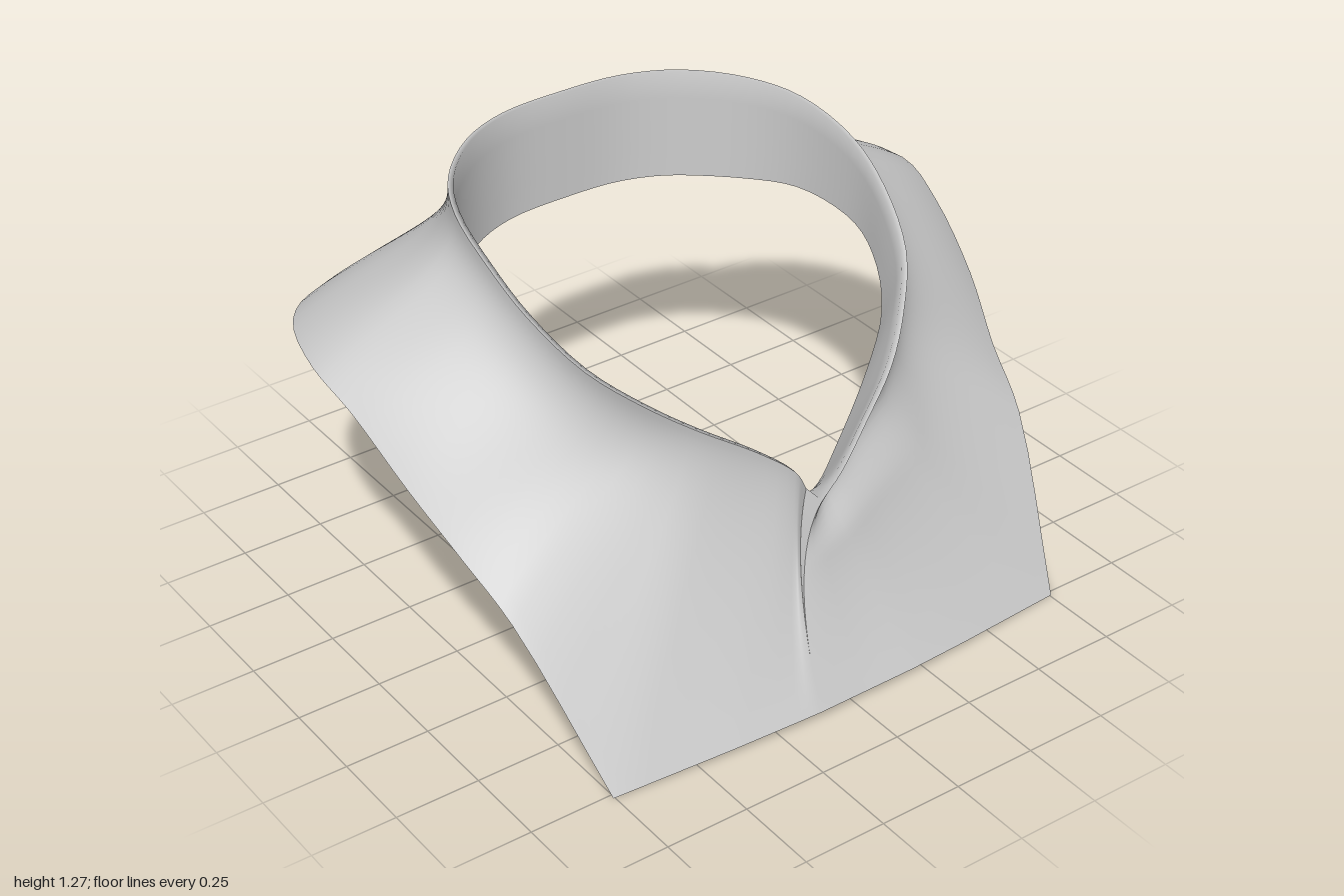
import * as THREE from 'three';
import { mergeVertices } from 'three/addons/utils/BufferGeometryUtils.js';

// Stations from centre back round the left side to the front slit:
// rim x, y, z, hem x, y, z, neck drop, shoulder lift
const STATIONS = [
  [0, 1.27, -0.565, 0, 0.755, -0.828, 0.27, -0.06],
  [0.2, 1.27, -0.55, 0.45, 0.77, -0.8, 0.27, -0.06],
  [0.36, 1.268, -0.48, 0.72, 0.815, -0.71, 0.26, -0.05],
  [0.5, 1.255, -0.35, 0.9, 0.865, -0.53, 0.23, -0.04],
  [0.575, 1.235, -0.2, 0.998, 0.888, -0.25, 0.18, -0.02],
  [0.604, 1.18, 0, 0.985, 0.83, -0.08, 0.17, -0.01],
  [0.59, 1.1, 0.16, 0.95, 0.69, 0.13, 0.18, 0],
  [0.53, 1.0, 0.33, 0.9, 0.55, 0.3, 0.18, 0],
  [0.42, 0.91, 0.46, 0.86, 0.425, 0.47, 0.18, 0],
  [0.3, 0.83, 0.56, 0.755, 0, 0.765, 0.17, 0],
  [0.16, 0.74, 0.63, 0.4, 0.017, 0.805, 0.14, 0],
  [0.05, 0.65, 0.67, 0.2, 0.023, 0.82, 0.12, 0],
  [0, 0.57, 0.655, -0.12, 0.025, 0.825, 0.12, 0],
];
const LAST = STATIONS.length - 1, CORNER = 9;
const STEP = 0.25, COLS = (2 * LAST) / STEP, ROWS = 28, SLIT = 0.85;

const v = (x, y, z) => new THREE.Vector3(x, y, z);
const lerp = THREE.MathUtils.lerp, smooth = THREE.MathUtils.smoothstep;

// Stations -LAST..LAST: negative ones mirror to the right, and meet at the slit
function station(i) {
  const [rx, ry, rz, hx, hy, hz, drop, lift] = STATIONS[Math.abs(i)];
  const m = i < 0 && i > -LAST ? -1 : 1;
  return { rim: v(rx * m, ry, rz), hem: v(hx * m, hy, hz), drop, lift };
}
const all = Array.from({ length: 2 * LAST + 1 }, (_, k) => station(k - LAST));
const rimCurve = new THREE.CatmullRomCurve3(all.map((s) => s.rim));
const hemCurve = new THREE.CatmullRomCurve3(
  all.slice(LAST - CORNER, LAST + CORNER + 1).map((s) => s.hem));

// Rim, hem and shaping values at any point around the loop;
// the hem is rounded behind the chest corners and straight between them
function sample(s) {
  const f = s + LAST, i = Math.min(Math.floor(f), 2 * LAST - 1), k = f - i;
  const A = all[i], B = all[i + 1];
  return {
    rim: rimCurve.getPoint(f / (2 * LAST)),
    hem: Math.abs(s) < CORNER
      ? hemCurve.getPoint((s + CORNER) / (2 * CORNER))
      : A.hem.clone().lerp(B.hem, k),
    drop: lerp(A.drop, B.drop, k),
    lift: lerp(A.lift, B.lift, k),
  };
}

// The right front tucks behind the left, closing up at the foot of the slit
const tuck = (s, t) => (s < 0 ? -0.07 * smooth(-s, 7, 11) * Math.max(0, 1 - t / SLIT) ** 2 : 0);

// The left front rolls over, leaving a hollow under its rim
const hollow = (s, t) => -0.045 * smooth(s, 8, 10) * (1 - smooth(s, 11, 12))
  * smooth(t, 0, 0.2) * (1 - smooth(t, 0.2, 0.48));

// Cloth surface: a curve from the standing rim, flaring out to the hem
function cloth(s, t) {
  const { rim, hem, drop, lift } = sample(s);
  const a = Math.abs(s);
  const bow = -0.05 * smooth(a, 11, 12);
  // the chest dips inward between rim and hem
  const dent = smooth(a, 5.5, 8) * (1 - 0.5 * smooth(a, 11, 12));
  const inward = v(-rim.x, 0, -rim.z).normalize().multiplyScalar(dent);
  const c1 = rim.clone().add(v(bow, -drop, 0)).addScaledVector(inward, 0.06);
  const c2 = rim.clone().lerp(hem, 0.5).add(v(bow, lift, 0)).addScaledVector(inward, 0.09);
  const p = new THREE.CubicBezierCurve3(rim, c1, c2, hem).getPoint(t);
  p.z += tuck(s, t) + hollow(s, t);
  return p;
}

// Facing: turned over the rim, then hanging inside the neck
function facing(s, row) {
  const p = cloth(s, 0);
  if (row === 0) return p;
  const a = Math.abs(s);
  const inset = lerp(0.97, 0.81, smooth(a, 5, 9.5)) + (s < 0 ? 0.1 * smooth(a, 10, 12) : 0);
  const fall = lerp(0.33, 0.19, smooth(a, 2, 7)) - 0.11 * smooth(a, 10, 12);
  const k = (row - 1) / 4;
  const scale = lerp(0.975, inset, k);
  return v(p.x * scale, p.y - fall * k, p.z * scale);
}

// Grid surface from a point function of column and row
function surface(name, cols, rows, point) {
  const pos = [], index = [];
  for (let j = 0; j <= rows; j++)
    for (let i = 0; i <= cols; i++) pos.push(...point(i, j).toArray());
  for (let j = 0; j < rows; j++)
    for (let i = 0; i < cols; i++) {
      const a = j * (cols + 1) + i, b = a + cols + 1;
      index.push(a, a + 1, b, a + 1, b + 1, b);
    }
  let geo = new THREE.BufferGeometry();
  geo.setAttribute('position', new THREE.Float32BufferAttribute(pos, 3));
  geo.setIndex(index);
  geo = mergeVertices(geo, 1e-5);
  geo.computeVertexNormals();
  const mat = new THREE.MeshStandardMaterial({ color: 0xcccccc, side: THREE.DoubleSide });
  const mesh = new THREE.Mesh(geo, mat);
  mesh.name = name;
  return mesh;
}

export function createModel() {
  const group = new THREE.Group();
  group.name = 'collarYoke';
  const at = (i) => -LAST + i * STEP;

  group.add(surface('yoke', COLS, ROWS, (i, j) => cloth(at(i), j / ROWS)));
  group.add(surface('neckFacing', COLS, 5, (i, j) => facing(at(i), j)));

  // Narrow strip joining the two edges of the front slit
  group.add(surface('slitPlacket', 1, 12, (i, j) =>
    cloth(i ? -LAST : LAST, (j / 12) * SLIT * 0.98)));
  return group;
}
